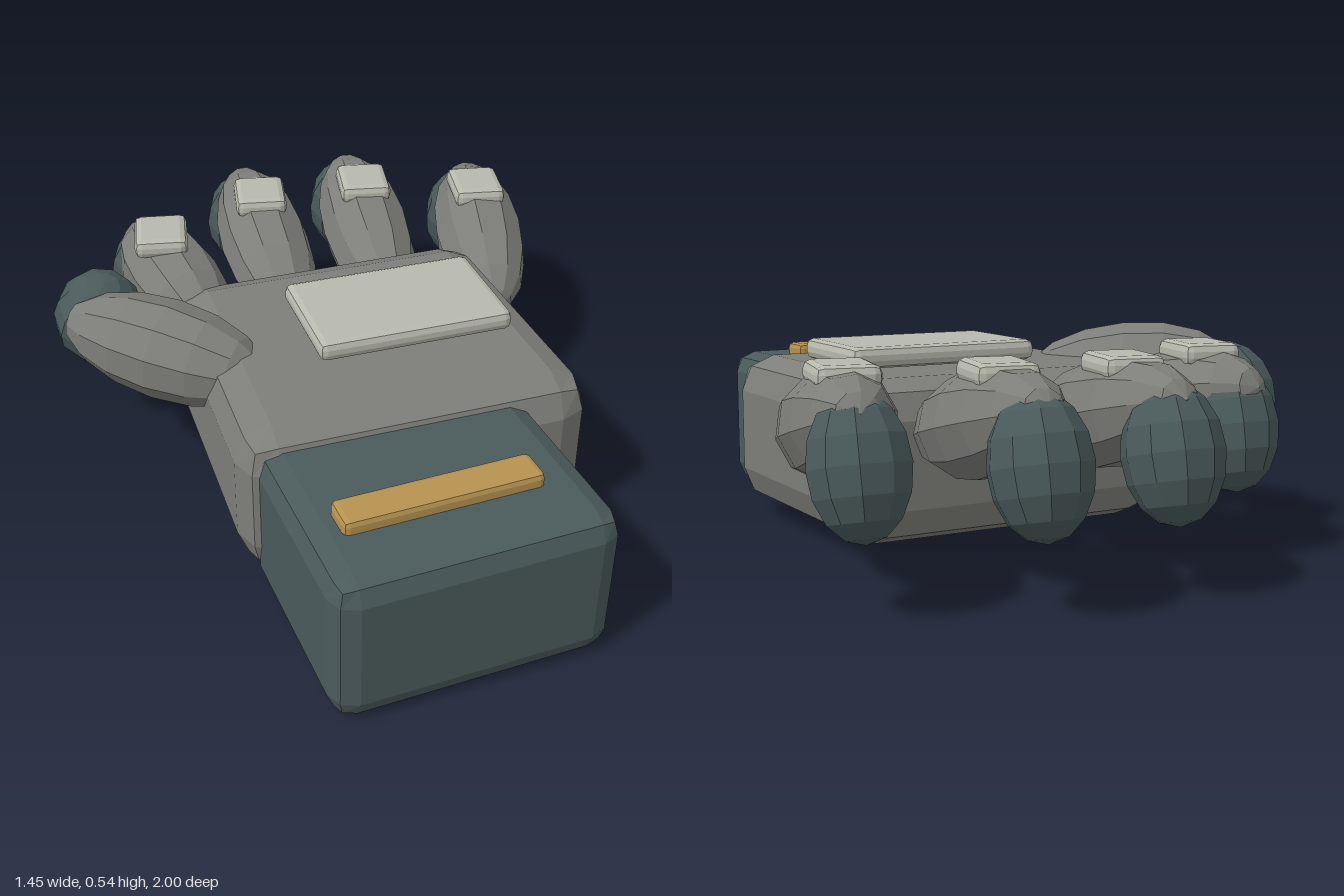
import * as THREE from 'three';
import { RoundedBoxGeometry } from 'three/addons/geometries/RoundedBoxGeometry.js';

const material = (name, color) => {
  const m = new THREE.MeshStandardMaterial({ color, flatShading: true });
  m.name = name;
  return m;
};

export function createModel() {
  const hand = new THREE.Group();
  hand.name = 'armouredHand';
  const grey = material('grey', 0x7d7d79);
  const slate = material('slate', 0x4a5a5b);
  const pale = material('paleGrey', 0xb8b9ad);
  const gold = material('gold', 0xb6924f);
  const deg = THREE.MathUtils.degToRad;

  const add = (name, geometry, mat, position) => {
    const mesh = new THREE.Mesh(geometry, mat);
    mesh.name = name;
    mesh.position.set(...position);
    hand.add(mesh);
    return mesh;
  };

  // Bevelled block turned about the vertical axis
  const block = (name, mat, size, bevel, position, turn) => {
    const mesh = add(name, new RoundedBoxGeometry(...size, 1, bevel), mat, position);
    mesh.rotation.y = deg(turn);
    return mesh;
  };

  // Faceted ellipsoid whose long axis follows a direction
  const up = new THREE.Vector3(0, 1, 0);
  const ellipsoid = (name, mat, position, direction, radius, half) => {
    const geometry = new THREE.SphereGeometry(1, 10, 8).scale(radius, half, radius);
    const mesh = add(name, geometry, mat, position);
    mesh.quaternion.setFromUnitVectors(up, new THREE.Vector3(...direction).normalize());
    return mesh;
  };

  // Cuff with its trim bar
  block('cuff', slate, [0.71, 0.41, 0.58], 0.06, [0.075, 0.205, 0.67], 7.5);
  block('cuffTrim', gold, [0.5, 0.05, 0.095], 0.015, [0.065, 0.42, 0.745], 7.5);

  // Palm, slightly narrower toward the fingers
  const palm = block('palm', grey, [0.93, 0.41, 0.84], 0.095, [0.08, 0.245, 0.07], 5);
  const points = palm.geometry.attributes.position;
  for (let i = 0; i < points.count; i++) {
    points.setX(i, points.getX(i) * (0.98 + 0.05 * points.getZ(i)));
  }
  block('backPlate', pale, [0.53, 0.055, 0.335], 0.02, [0.165, 0.485, 0.03], 4.5);

  // Four fingers: body, drooping tip and knuckle plate
  const fingers = [
    { body: [-0.37, 0.375, -0.43], lean: -0.3, half: 0.26, tip: [-0.42, 0.325, -0.59], plate: [-0.395, -0.475] },
    { body: [-0.07, 0.375, -0.585], lean: -0.04, half: 0.34, tip: [-0.085, 0.325, -0.86], plate: [-0.07, -0.655] },
    { body: [0.25, 0.375, -0.6], lean: 0.02, half: 0.34, tip: [0.255, 0.325, -0.885], plate: [0.255, -0.67] },
    { body: [0.575, 0.375, -0.485], lean: 0.15, half: 0.32, tip: [0.605, 0.325, -0.735], plate: [0.583, -0.565] },
  ];
  fingers.forEach(({ body, lean, half, tip, plate }, i) => {
    const n = i + 1;
    ellipsoid(`finger${n}`, grey, body, [lean, 0.23, -1], 0.132, half);
    ellipsoid(`fingertip${n}`, slate, tip, [0, -1, -0.25], 0.118, 0.165);
    block(`knucklePlate${n}`, pale, [0.15, 0.055, 0.18], 0.02, [plate[0], 0.502, plate[1]], -7);
  });

  // Thumb
  ellipsoid('thumb', grey, [-0.45, 0.405, -0.03], [-0.82, 0.1, -0.58], 0.135, 0.295);
  ellipsoid('thumbTip', slate, [-0.6, 0.36, -0.31], [-0.1, -0.9, -0.4], 0.127, 0.15);

  return hand;
}
